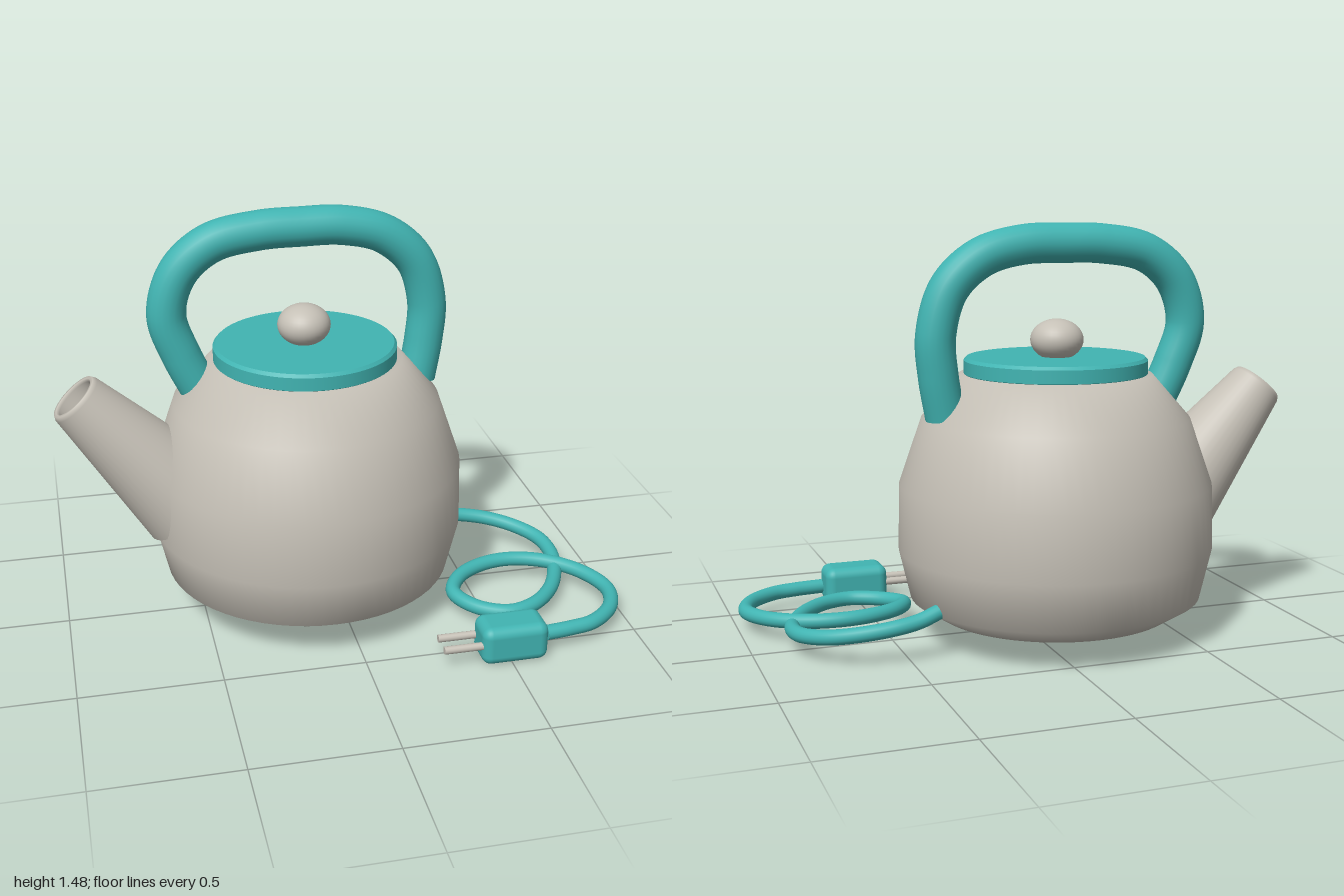
import * as THREE from 'three';
import { RoundedBoxGeometry } from 'three/addons/geometries/RoundedBoxGeometry.js';

const enamel = new THREE.MeshStandardMaterial({ color: 0xc5c0b6 });
enamel.name = 'warm grey';
const teal = new THREE.MeshStandardMaterial({ color: 0x41b4b2 });
teal.name = 'teal';

const CX = -0.095, CZ = -0.065; // axis of the kettle body

function add(group, name, geometry, material, x = 0, y = 0, z = 0) {
  const mesh = new THREE.Mesh(geometry, material);
  mesh.name = name;
  mesh.position.set(x, y, z);
  group.add(mesh);
  return mesh;
}

const lathe = (points, segments = 64) =>
  new THREE.LatheGeometry(points.map(([r, y]) => new THREE.Vector2(r, y)), segments);

// Round tube along a smooth path, closed with a flat disc at each end
function cappedTube(group, name, points, radius, segments, material) {
  const path = new THREE.CatmullRomCurve3(points.map((p) => new THREE.Vector3(...p)), false, 'centripetal');
  const part = new THREE.Group();
  part.name = name;
  add(part, name + 'Tube', new THREE.TubeGeometry(path, segments, radius, 20), material);
  for (const t of [0, 1]) {
    const p = path.getPointAt(t);
    const out = path.getTangentAt(t).multiplyScalar(t ? 1 : -1);
    const cap = add(part, name + 'End', new THREE.CircleGeometry(radius, 20), material, p.x, p.y, p.z);
    cap.quaternion.setFromUnitVectors(new THREE.Vector3(0, 0, 1), out);
  }
  group.add(part);
}

export function createModel() {
  const kettle = new THREE.Group();
  kettle.name = 'kettle';

  // Body
  add(kettle, 'body', lathe([
    [0, 0.085], [0.43, 0.085], [0.525, 0.145], [0.566, 0.32],
    [0.561, 0.555], [0.48, 0.79], [0.345, 0.945], [0, 0.95],
  ]), enamel, CX, 0, CZ);

  // Lid with softened rim, and its knob
  add(kettle, 'lid', lathe([
    [0, 0.94], [0.32, 0.94], [0.328, 0.947], [0.328, 0.947], [0.328, 0.994],
    [0.328, 0.994], [0.318, 1.005], [0.318, 1.005], [0, 1.005],
  ]), teal, CX - 0.003, 0, CZ + 0.005);
  add(kettle, 'lidKnob', new THREE.SphereGeometry(0.095, 32, 20), enamel, CX - 0.005, 1.065, CZ)
    .scale.y = 0.78;

  // Tapered hollow spout, leaning out to the side
  const spout = add(kettle, 'spout', lathe([
    [0.19, 0], [0.102, 0.565], [0.094, 0.58], [0.083, 0.58], [0.076, 0.57], [0.076, 0.25], [0, 0.25],
  ], 40), enamel, -0.54, 0.435, -0.04);
  spout.rotation.z = 0.72;

  // Arched carrying handle
  cappedTube(kettle, 'handle', [
    [-0.47, 0.83, -0.1], [-0.535, 0.97, -0.105], [-0.58, 1.12, -0.11], [-0.535, 1.27, -0.113],
    [-0.42, 1.368, -0.115], [-0.25, 1.403, -0.117], [-0.1, 1.407, -0.118], [0.05, 1.403, -0.119],
    [0.2, 1.362, -0.121], [0.315, 1.26, -0.122], [0.364, 1.1, -0.122], [0.355, 0.96, -0.117],
    [0.328, 0.815, -0.108],
  ], 0.07, 96, teal);

  // Looped power cord
  cappedTube(kettle, 'cord', [
    [0.4, 0.165, -0.247], [0.47, 0.142, -0.258], [0.56, 0.128, -0.265], [0.67, 0.112, -0.243],
    [0.77, 0.095, -0.185], [0.84, 0.082, -0.09], [0.853, 0.072, 0.02], [0.82, 0.062, 0.15],
    [0.755, 0.06, 0.265], [0.66, 0.06, 0.35], [0.56, 0.06, 0.375], [0.455, 0.062, 0.32],
    [0.4, 0.07, 0.22], [0.45, 0.078, 0.125], [0.56, 0.082, 0.06], [0.68, 0.082, 0.045],
    [0.81, 0.078, 0.085], [0.92, 0.072, 0.185], [0.968, 0.067, 0.31], [0.93, 0.066, 0.43],
    [0.83, 0.067, 0.517], [0.74, 0.068, 0.54], [0.64, 0.068, 0.552],
  ], 0.027, 160, teal);

  // Plug and its two prongs
  add(kettle, 'plug', new RoundedBoxGeometry(0.24, 0.143, 0.145, 4, 0.035), teal, 0.51, 0.0725, 0.553);
  for (const z of [0.515, 0.593]) {
    add(kettle, 'prong', new THREE.CylinderGeometry(0.014, 0.014, 0.16, 14), enamel, 0.335, 0.073, z)
      .rotation.z = Math.PI / 2;
  }

  return kettle;
}
